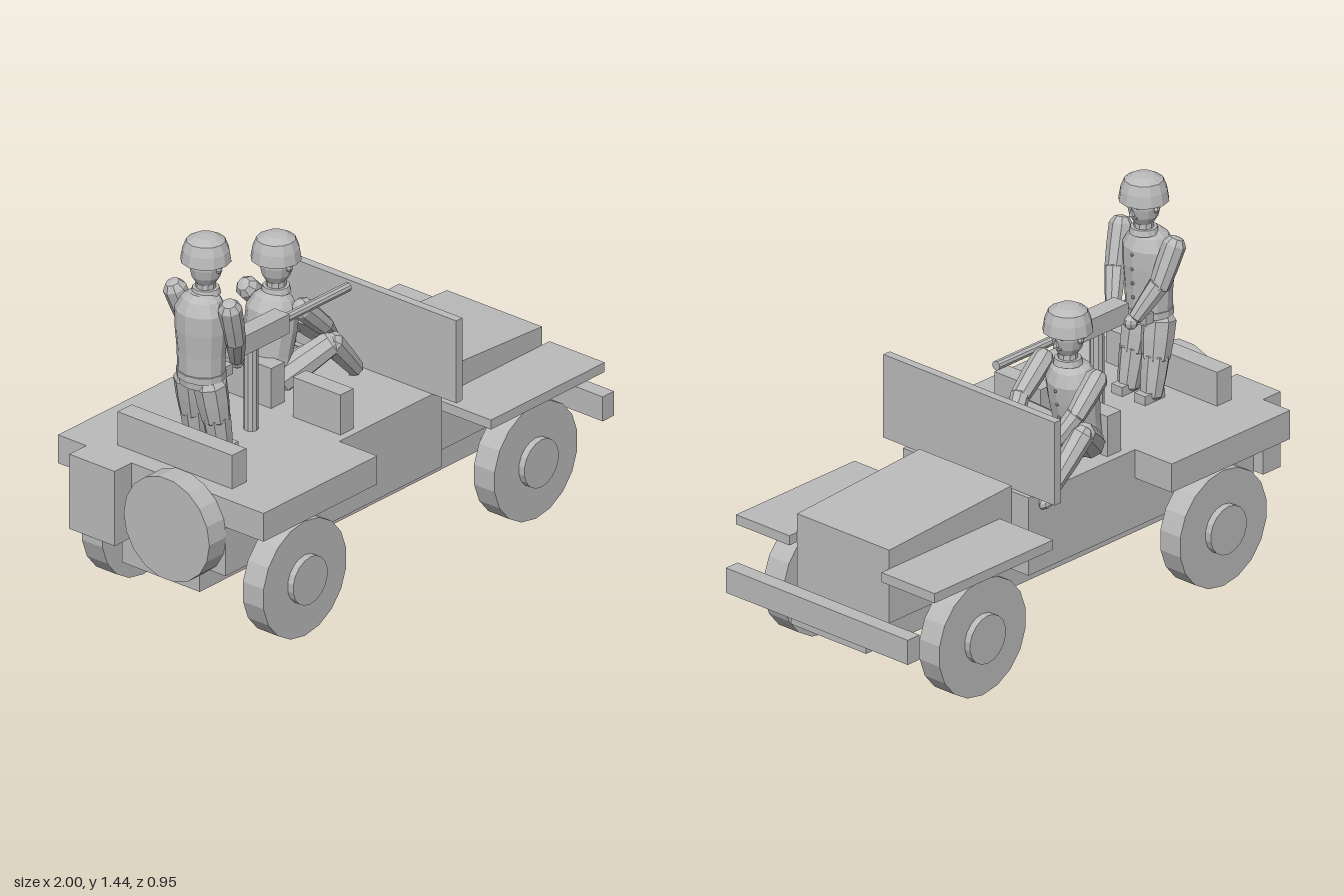
import * as THREE from 'three';

const gray = new THREE.MeshStandardMaterial({ color: 0xbababa, flatShading: true });
gray.name = 'plain gray';

const V = (x, y, z) => new THREE.Vector3(x, y, z);

function add(parent, name, geometry, x = 0, y = 0, z = 0) {
  const mesh = new THREE.Mesh(geometry, gray);
  mesh.name = name;
  mesh.position.set(x, y, z);
  parent.add(mesh);
  return mesh;
}

// Box given by its limits on each axis
function box(parent, name, x0, x1, y0, y1, z0, z1) {
  return add(parent, name, new THREE.BoxGeometry(x1 - x0, y1 - y0, z1 - z0),
    (x0 + x1) / 2, (y0 + y1) / 2, (z0 + z1) / 2);
}

function lathe(points, sides) {
  return new THREE.LatheGeometry(points.map(([r, y]) => new THREE.Vector2(r, y)), sides);
}

// Tapered limb with bevelled ends running from a to b
function limb(parent, name, a, b, ra, rb) {
  const dir = b.clone().sub(a), len = dir.length();
  const mesh = add(parent, name, lathe([[0, -ra * 0.7], [ra * 0.6, -ra * 0.55], [ra, 0],
    [(ra + rb) / 2 * 1.04, len / 2], [rb, len], [rb * 0.6, len + rb * 0.4], [0, len + rb * 0.5]], 8), a.x, a.y, a.z);
  mesh.quaternion.setFromUnitVectors(V(0, 1, 0), dir.normalize());
}

// Head facing +x, origin at the base of the neck
function makeHead() {
  const head = new THREE.Group();
  head.name = 'head';
  add(head, 'neck', new THREE.CylinderGeometry(0.034, 0.038, 0.07, 10), 0, 0.025, 0);
  add(head, 'collar', new THREE.CylinderGeometry(0.048, 0.054, 0.022, 12), 0, 0.008, 0);
  add(head, 'face', lathe([[0, 0.035], [0.035, 0.037], [0.052, 0.065], [0.06, 0.1], [0.06, 0.14], [0, 0.17]], 12));
  add(head, 'helmet', lathe([[0, 0.125], [0.091, 0.123], [0.084, 0.165], [0.07, 0.2],
    [0.04, 0.217], [0, 0.222]], 12));
  add(head, 'nose', new THREE.ConeGeometry(0.012, 0.03, 5), 0.062, 0.094, 0);
  box(head, 'mouth', 0.045, 0.058, 0.066, 0.072, -0.016, 0.016);
  for (const s of [-1, 1]) {
    add(head, 'eye', new THREE.SphereGeometry(0.007, 6, 4), 0.055, 0.112, s * 0.022);
    add(head, 'ear', new THREE.SphereGeometry(0.013, 6, 4), 0, 0.1, s * 0.06);
  }
  return head;
}

// Torso with buttons and belt, origin at the hips, facing +x
function makeTorso() {
  const torso = new THREE.Group();
  torso.name = 'torso';
  add(torso, 'jacket', lathe([[0, 0], [0.085, 0.005], [0.09, 0.06], [0.092, 0.13], [0.1, 0.22],
    [0.1, 0.29], [0.075, 0.335], [0.045, 0.355], [0, 0.357]], 12)).scale.x = 0.86;
  for (let i = 0; i < 4; i++)
    add(torso, 'button', new THREE.SphereGeometry(0.007, 6, 4), 0.081 + Math.min(i, 2) * 0.002, 0.11 + i * 0.055, 0);
  add(torso, 'belt', new THREE.CylinderGeometry(0.094, 0.094, 0.025, 12), 0, 0.045, 0).scale.x = 0.88;
  for (const s of [-1, 1]) box(torso, 'belt pouch', 0.05, 0.088, 0.025, 0.065, s * 0.05 - 0.02, s * 0.05 + 0.02);
  return torso;
}

function makeGunner() {
  const figure = new THREE.Group();
  figure.name = 'standing gunner';
  const torso = makeTorso();
  torso.position.set(-0.695, 0.875, 0);
  const head = makeHead();
  head.position.set(-0.67, 1.223, 0);
  figure.add(torso, head);
  for (const s of [-1, 1]) {
    limb(figure, 'upper arm', V(-0.69, 1.205, s * 0.128), V(-0.635, 1.05, s * 0.105), 0.043, 0.038);
    limb(figure, 'forearm', V(-0.635, 1.06, s * 0.105), V(-0.57, 0.94, s * 0.055), 0.038, 0.027);
    add(figure, 'hand', new THREE.SphereGeometry(0.028, 8, 6), -0.555, 0.925, s * 0.045);
    limb(figure, 'thigh', V(-0.7, 0.89, s * 0.045), V(-0.675, 0.75, s * 0.052), 0.062, 0.052);
    limb(figure, 'shin', V(-0.675, 0.76, s * 0.052), V(-0.65, 0.615, s * 0.055), 0.052, 0.04);
    box(figure, 'shoe', -0.69, -0.59, 0.6, 0.635, s * 0.055 - 0.026, s * 0.055 + 0.026);
  }
  return figure;
}

function makeDriver() {
  const figure = new THREE.Group();
  figure.name = 'seated driver';
  const torso = makeTorso();
  torso.position.set(-0.165, 0.615, 0);
  torso.rotation.z = -0.15;
  const head = makeHead();
  head.position.set(-0.103, 0.966, 0);
  figure.add(torso, head);
  for (const s of [-1, 1]) {
    limb(figure, 'upper arm', V(-0.115, 0.94, s * 0.128), V(0.0, 0.83, s * 0.13), 0.042, 0.036);
    limb(figure, 'forearm', V(0.0, 0.835, s * 0.13), V(0.09, 0.73, s * 0.095), 0.035, 0.026);
    add(figure, 'hand', new THREE.SphereGeometry(0.026, 8, 6), 0.105, 0.72, s * 0.09);
    limb(figure, 'thigh', V(-0.15, 0.655, s * 0.06), V(0.0, 0.775, s * 0.165), 0.055, 0.046);
    limb(figure, 'shin', V(0.0, 0.775, s * 0.165), V(0.14, 0.62, s * 0.155), 0.045, 0.032);
    const shoe = add(figure, 'shoe', new THREE.SphereGeometry(0.03, 8, 6), 0.155, 0.575, s * 0.15);
    shoe.scale.set(1.7, 0.9, 0.85);
    shoe.rotation.z = -0.5;
  }
  figure.position.z = -0.168;
  return figure;
}

export function createModel() {
  const model = new THREE.Group();
  model.name = 'open utility vehicle with two figures';

  // Body
  box(model, 'chassis', -0.91, 0.94, 0.2, 0.305, -0.18, 0.18);
  box(model, 'body tub', -0.91, 0.24, 0.3, 0.6, -0.3, 0.3);
  box(model, 'rear fender deck', -0.91, -0.305, 0.49, 0.6, -0.475, 0.475);
  box(model, 'bumper', 0.94, 1, 0.26, 0.355, -0.435, 0.435);
  box(model, 'rear storage can', -1, -0.91, 0.31, 0.6, -0.345, -0.135);

  // Hood with a sloping top
  const side = new THREE.Shape([[0.24, 0.305], [0.865, 0.305], [0.865, 0.587], [0.24, 0.622]]
    .map(([x, y]) => new THREE.Vector2(x, y)));
  add(model, 'hood', new THREE.ExtrudeGeometry(side, { depth: 0.44, bevelEnabled: false }), 0, 0, -0.22);

  box(model, 'windshield', 0.19, 0.223, 0.6, 0.92, -0.41, 0.41);
  box(model, 'rear bench', -0.835, -0.76, 0.6, 0.73, -0.265, 0.265);

  for (const s of [-1, 1]) {
    box(model, 'front fender', 0.3, 0.905, 0.478, 0.515, s * 0.3475 - 0.1275, s * 0.3475 + 0.1275);
    box(model, 'front seat', -0.265, -0.195, 0.6, 0.755, s * 0.16 - 0.11, s * 0.16 + 0.11);
  }

  // Wheels, hubs and axles
  for (const x of [-0.627, 0.602]) {
    add(model, 'axle', new THREE.CylinderGeometry(0.024, 0.024, 0.68, 10), x, 0.225, 0).rotation.x = Math.PI / 2;
    for (const s of [-1, 1]) {
      add(model, 'wheel', new THREE.CylinderGeometry(0.223, 0.223, 0.095, 18), x, 0.225, s * 0.3725).rotation.x = Math.PI / 2;
      add(model, 'hub', new THREE.CylinderGeometry(0.092, 0.092, 0.03, 18), x, 0.225, s * 0.431).rotation.x = Math.PI / 2;
    }
  }
  add(model, 'spare wheel', new THREE.CylinderGeometry(0.198, 0.198, 0.09, 18), -0.955, 0.453, 0.105).rotation.z = Math.PI / 2;

  // Mounted gun
  add(model, 'gun post', new THREE.CylinderGeometry(0.026, 0.026, 0.32, 10), -0.43, 0.76, 0);
  box(model, 'gun receiver', -0.555, -0.265, 0.92, 0.995, -0.035, 0.035);
  add(model, 'gun barrel', new THREE.CylinderGeometry(0.018, 0.018, 0.35, 10), -0.09, 0.96, 0).rotation.z = Math.PI / 2;

  // Steering wheel and column
  add(model, 'steering wheel', new THREE.CylinderGeometry(0.1, 0.1, 0.012, 18), 0.105, 0.715, -0.168).rotation.z = -0.8;
  limb(model, 'steering column', V(0.105, 0.715, -0.168), V(0.19, 0.65, -0.168), 0.01, 0.01);

  model.add(makeGunner(), makeDriver());
  return model;
}
